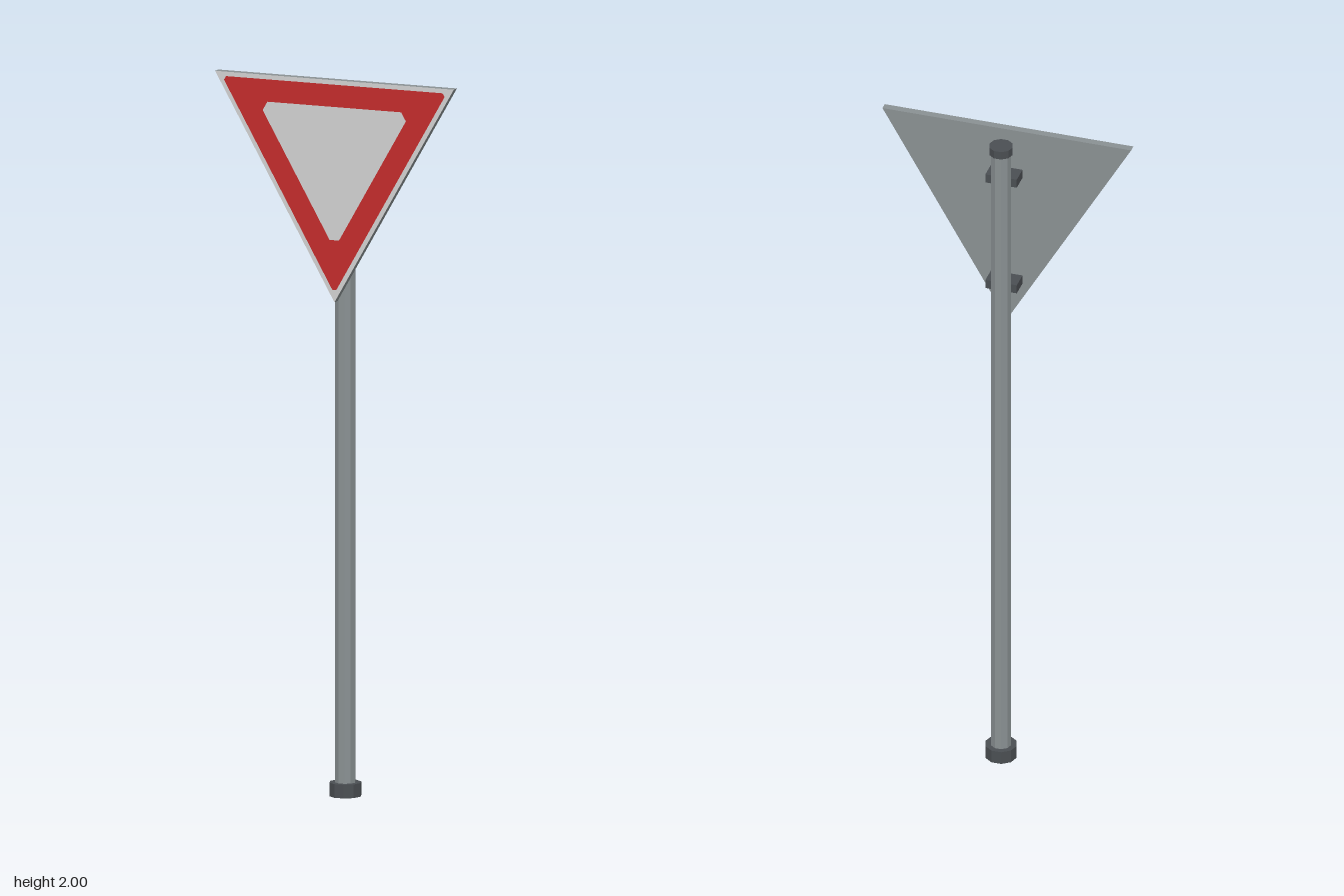
import * as THREE from 'three';

const mat = (name, color, flatShading = false) =>
  Object.assign(new THREE.MeshStandardMaterial({ color, flatShading }), { name });

// Downward-pointing equilateral triangle about the origin, corners cut back by trim
function triangle(inradius, trim = 0, Type = THREE.Shape) {
  const R = inradius * 2;
  const corners = [-90, 30, 150].map((d) => {
    const a = THREE.MathUtils.degToRad(d);
    return new THREE.Vector2(Math.cos(a) * R, Math.sin(a) * R);
  });
  if (!trim) return new Type(corners);
  const points = [];
  corners.forEach((c, i) => {
    for (const j of [2, 1]) {
      const dir = corners[(i + j) % 3].clone().sub(c).normalize();
      points.push(c.clone().addScaledVector(dir, trim));
    }
  });
  return new Type(points);
}

export function createModel() {
  const steel = mat('galvanised steel', 0x8a9193, true);
  const dark = mat('dark fittings', 0x4b4f53, true);
  const white = mat('sign white', 0xd2d2d2);
  const red = mat('sign red', 0xc42c2c);

  const group = new THREE.Group();
  const add = (name, geometry, material, x, y, z) => {
    const mesh = new THREE.Mesh(geometry, material);
    mesh.name = name;
    mesh.position.set(x, y, z);
    group.add(mesh);
    return mesh;
  };

  // Ten-sided post with a foot collar and end cap
  const poleZ = -0.0175;
  const rod = (name, radius, y0, y1, material) => {
    const g = new THREE.CylinderGeometry(radius, radius, y1 - y0, 10);
    g.rotateY(Math.PI / 10);
    add(name, g, material, 0, (y0 + y1) / 2, poleZ);
  };
  rod('post', 0.029, 0.01, 1.965, steel);
  rod('footCollar', 0.0447, 0, 0.038, dark);
  rod('postCap', 0.0335, 1.955, 1.979, dark);

  // Brackets joining the post to the plate
  for (const [name, y] of [['upperBracket', 1.864], ['lowerBracket', 1.521]])
    add(name, new THREE.BoxGeometry(0.09, 0.026, 0.053), dark, 0, y, 0.009);

  // Triangular plate
  const signY = 1.7943;
  const plate = new THREE.ExtrudeGeometry(triangle(0.2057), { depth: 0.021, bevelEnabled: false });
  add('signPlate', plate, steel, 0, signY, 0.035);

  // Painted face: white ground, red border, white centre
  add('signFace', new THREE.ShapeGeometry(triangle(0.2057)), white, 0, signY, 0.0565);
  const border = triangle(0.1935, 0.012);
  border.holes.push(triangle(0.1315, 0.028, THREE.Path));
  add('redBorder', new THREE.ShapeGeometry(border), red, 0, signY, 0.0575);

  return group;
}
